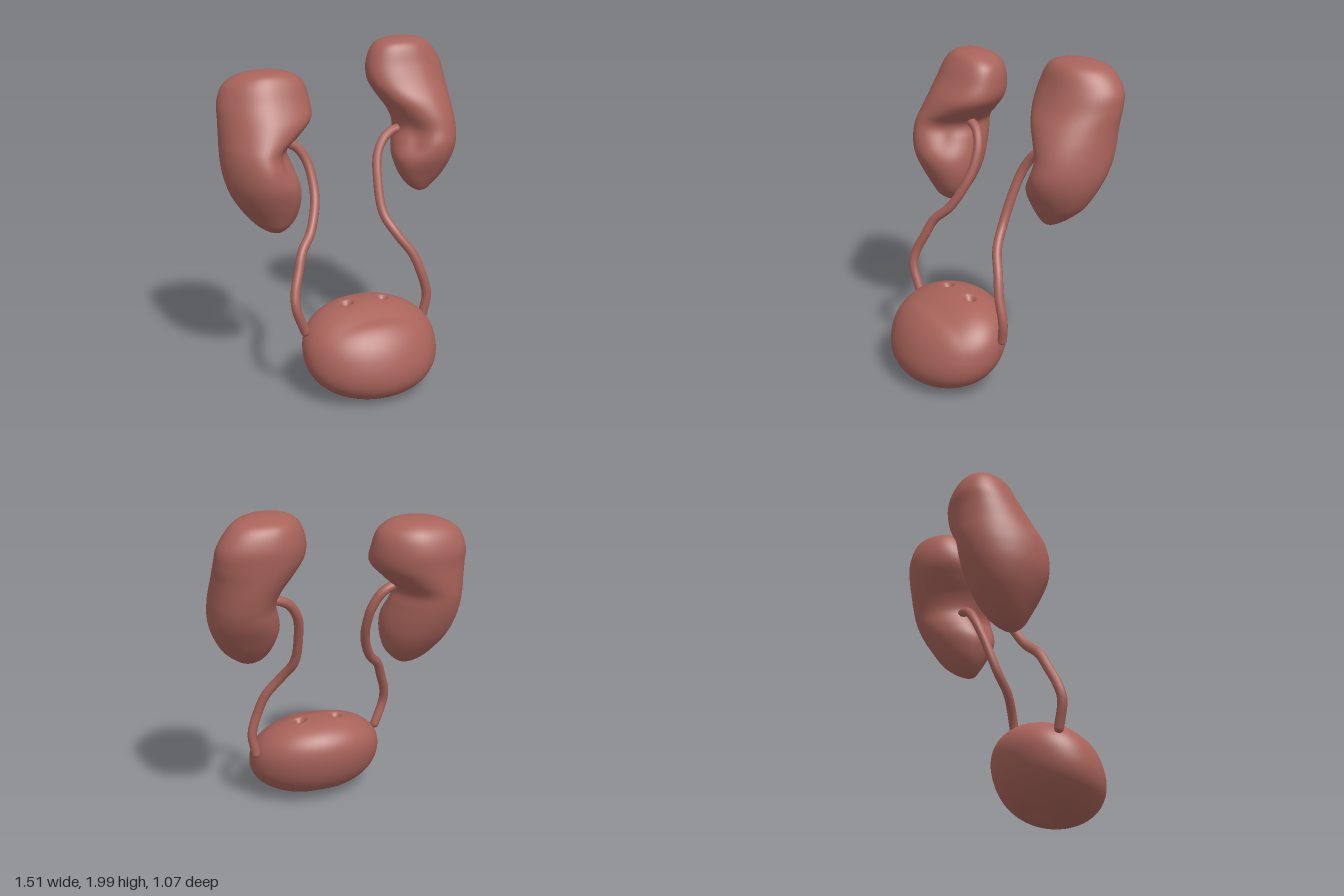
import * as THREE from 'three';

const material = new THREE.MeshStandardMaterial({ color: 0xa8635a, side: THREE.DoubleSide });

function addMesh(group, name, geometry) {
  const mesh = new THREE.Mesh(geometry, material);
  mesh.name = name;
  group.add(mesh);
  return mesh;
}

// Smooth loft through horizontal sections [y, xMin, xMax, zMin, zMax], listed from top to bottom
function kidneyGeometry(sections, hilumAngle, hilumY, skew) {
  const centres = new THREE.CatmullRomCurve3(
    sections.map(([y, x0, x1, z0, z1]) => new THREE.Vector3((x0 + x1) / 2, y, (z0 + z1) / 2)), false, 'catmullrom');
  const radii = new THREE.CatmullRomCurve3(
    sections.map(([, x0, x1, z0, z1]) => new THREE.Vector3((x1 - x0) / 2, 0, (z1 - z0) / 2)), false, 'catmullrom');
  const rows = 72, cols = 56, positions = [], index = [];
  for (let i = 0; i <= rows; i++) {
    const c = centres.getPoint(i / rows), r = radii.getPoint(i / rows);
    for (let j = 0; j < cols; j++) {
      const a = (j / cols) * Math.PI * 2;
      // Hollow on the front inner side, where the ureter leaves
      const dent = 1 - 0.22 * Math.exp(-(((a - hilumAngle) / 0.5) ** 2) - ((c.y - hilumY) / 0.11) ** 2);
      const dx = Math.max(r.x, 0) * Math.cos(a) * dent;
      const dz = Math.max(r.z, 0) * Math.sin(a) * dent;
      positions.push(c.x + dx, c.y, c.z + dz + skew * dx * Math.abs(Math.cos(a)));
      if (i < rows) {
        const n = (j + 1) % cols, p = i * cols, q = p + cols;
        index.push(p + j, p + n, q + j, p + n, q + n, q + j);
      }
    }
  }
  const geometry = new THREE.BufferGeometry();
  geometry.setAttribute('position', new THREE.Float32BufferAttribute(positions, 3));
  geometry.setIndex(index);
  geometry.computeVertexNormals();
  return geometry;
}

// Bent tube with rounded ends
function addUreter(group, name, points) {
  const path = points.map((p) => new THREE.Vector3(...p));
  const part = new THREE.Group();
  part.name = name;
  const radius = 0.028;
  addMesh(part, name + 'Tube', new THREE.TubeGeometry(new THREE.CatmullRomCurve3(path), 64, radius, 12));
  for (const end of [path[0], path[path.length - 1]]) {
    addMesh(part, name + 'End', new THREE.SphereGeometry(radius, 12, 8)).position.copy(end);
  }
  group.add(part);
}

// Full, backward-leaning ellipsoid with a shallow fold and small openings
function bladderGeometry() {
  const geometry = new THREE.SphereGeometry(1, 160, 96);
  const p = geometry.attributes.position;
  const bump = (d, w) => Math.exp(-((d / w) ** 2));
  for (let i = 0; i < p.count; i++) {
    const ux = p.getX(i), uy = p.getY(i), uz = p.getZ(i);
    const k = (Math.abs(uy) ** 2.25 + Math.hypot(ux, uz) ** 2.25) ** (-1 / 2.25);
    const x = -0.027 + 0.412 * ux * k;
    let y = 0.28 + 0.27 * uy * k;
    const z = 0.217 + 0.305 * uz * k - 0.08 * uy * k;
    if (uy > 0) {
      // Fold across the top, steeper towards the front
      y -= 0.02 * bump(z - 0.33, z > 0.33 ? 0.05 : 0.1) * bump(x - 0.02, 0.27);
      // Two ureter openings
      for (const hx of [-0.14, 0.09]) {
        const d = Math.hypot(x - hx, z - 0.14);
        y -= 0.035 * Math.exp(-((d / 0.032) ** 4));
      }
    } else {
      // Outlet hollow underneath
      y += 0.03 * bump(Math.hypot(x + 0.027, z - 0.14), 0.06);
    }
    p.setXYZ(i, x, y, z);
  }
  geometry.computeVertexNormals();
  return geometry;
}

export function createModel() {
  const group = new THREE.Group();
  group.name = 'urinarySystem';

  addMesh(group, 'leftKidney', kidneyGeometry([
    [2.0, 0.45, 0.45, -0.33, -0.33],
    [1.99, 0.34, 0.56, -0.42, -0.25],
    [1.95, 0.265, 0.65, -0.5, -0.2],
    [1.85, 0.22, 0.725, -0.535, -0.16],
    [1.75, 0.22, 0.74, -0.53, -0.11],
    [1.66, 0.27, 0.74, -0.515, -0.05],
    [1.57, 0.335, 0.745, -0.495, -0.01],
    [1.48, 0.365, 0.75, -0.47, 0.015],
    [1.39, 0.34, 0.745, -0.435, 0.035],
    [1.3, 0.325, 0.72, -0.38, 0.02],
    [1.2, 0.355, 0.665, -0.31, -0.03],
    [1.13, 0.4, 0.59, -0.24, -0.07],
    [1.09, 0.45, 0.53, -0.17, -0.1],
    [1.08, 0.49, 0.49, -0.135, -0.135],
  ], Math.PI * 0.78, 1.42, -0.15));

  addMesh(group, 'rightKidney', kidneyGeometry([
    [1.88, -0.45, -0.45, -0.27, -0.27],
    [1.865, -0.59, -0.33, -0.37, -0.17],
    [1.81, -0.69, -0.245, -0.445, -0.12],
    [1.71, -0.735, -0.215, -0.48, -0.07],
    [1.61, -0.745, -0.22, -0.475, -0.01],
    [1.52, -0.75, -0.3, -0.465, 0.03],
    [1.44, -0.755, -0.375, -0.45, 0.06],
    [1.35, -0.755, -0.355, -0.43, 0.085],
    [1.25, -0.74, -0.33, -0.395, 0.085],
    [1.15, -0.7, -0.325, -0.345, 0.05],
    [1.05, -0.63, -0.35, -0.27, 0.0],
    [0.99, -0.57, -0.395, -0.21, -0.035],
    [0.955, -0.51, -0.44, -0.15, -0.08],
    [0.95, -0.475, -0.475, -0.115, -0.115],
  ], Math.PI * 0.22, 1.39, 0.15));

  addUreter(group, 'leftUreter', [
    [0.43, 1.46, -0.22], [0.35, 1.46, -0.21], [0.27, 1.42, -0.19], [0.21, 1.33, -0.16], [0.185, 1.2, -0.11],
    [0.185, 1.0, -0.03], [0.24, 0.88, 0.05], [0.32, 0.76, 0.1], [0.365, 0.64, 0.125],
    [0.403, 0.5, 0.125], [0.385, 0.375, 0.115],
  ]);
  addUreter(group, 'rightUreter', [
    [-0.43, 1.47, -0.19], [-0.37, 1.46, -0.19], [-0.3, 1.42, -0.185], [-0.25, 1.33, -0.16], [-0.235, 1.2, -0.11],
    [-0.25, 1.1, -0.06], [-0.31, 0.96, 0.01], [-0.39, 0.87, 0.07], [-0.43, 0.77, 0.11],
    [-0.47, 0.66, 0.15], [-0.475, 0.57, 0.175], [-0.42, 0.42, 0.17],
  ]);

  addMesh(group, 'bladder', bladderGeometry());
  return group;
}
